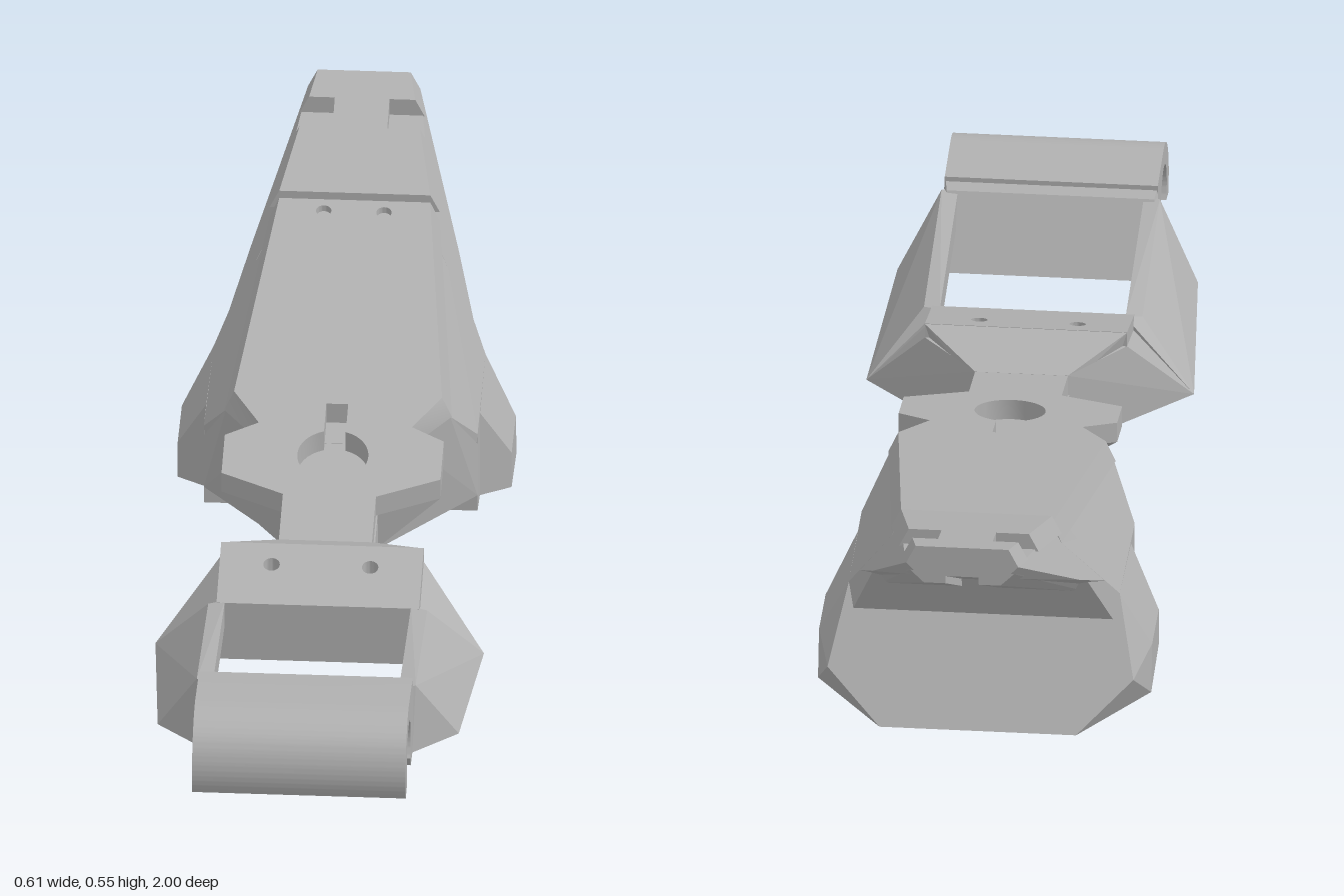
import * as THREE from 'three';
import { toCreasedNormals } from 'three/addons/utils/BufferGeometryUtils.js';
import { ConvexGeometry } from 'three/addons/geometries/ConvexGeometry.js';

const grey = new THREE.MeshStandardMaterial({ color: 0xb0b0b0 });
grey.name = 'plain grey';

export function createModel() {
  const model = new THREE.Group();
  const add = (name, geometry) => {
    const mesh = new THREE.Mesh(geometry, grey);
    mesh.name = name;
    model.add(mesh);
  };
  const hull = (name, pts) =>
    add(name, new ConvexGeometry(pts.map(p => new THREE.Vector3(...p))));
  const mirror = pts => pts.map(([x, y, z]) => [-x, y, z]);
  // Faceted block spanning both sides of the centre line
  const block = (name, pts) => hull(name, [...pts, ...mirror(pts)]);
  // Matching blocks on the left and right
  const pair = (name, pts) => {
    hull(name + 'Left', pts);
    hull(name + 'Right', mirror(pts));
  };
  const circle = (x, z, r) => new THREE.Path().absarc(x, -z, r, 0, Math.PI * 2, true);

  // Symmetrical sloping plate from a half outline [x, z]; its lower edge flares out
  function plate(name, half, holes, topY, depth, flare, flareBehind) {
    const right = half.map(([x, z]) => [-x, z]).reverse();
    const shape = new THREE.Shape([...half, ...right].map(([x, z]) => new THREE.Vector2(x, -z)));
    shape.holes.push(...holes);
    const g = new THREE.ExtrudeGeometry(shape, { depth, bevelEnabled: false, curveSegments: 16 });
    g.rotateX(-Math.PI / 2);
    const p = g.attributes.position;
    for (let i = 0; i < p.count; i++) {
      const x = p.getX(i), z = p.getZ(i), low = p.getY(i) < depth / 2;
      if (low && Math.abs(x) > 0.075 && z < flareBehind) p.setX(i, x + Math.sign(x) * flare);
      p.setY(i, topY(z) - (low ? depth : 0));
    }
    g.computeVertexNormals();
    add(name, toCreasedNormals(g, 0.5));
  }

  // Open hook at the front
  const hook = new THREE.Shape();
  hook.moveTo(0.78, 0.34);
  hook.lineTo(0.9, 0.352);
  hook.absarc(0.9, 0.252, 0.1, Math.PI / 2, -0.43, true);
  hook.absarc(0.9, 0.252, 0.06, -0.6, 3.85, false);
  hook.lineTo(0.84, 0.19);
  hook.lineTo(0.78, 0.187);
  const hookGeo = new THREE.ExtrudeGeometry(hook, { depth: 0.39, bevelEnabled: false, curveSegments: 28 });
  hookGeo.rotateY(-Math.PI / 2).translate(0.195, 0, 0);
  add('hook', toCreasedNormals(hookGeo, 0.5));

  // Front frame around the rectangular opening
  block('frameFront', [
    [0.195, 0.338, 0.79], [0.19, 0.32, 0.765], [0.2, 0.19, 0.69], [0.195, 0.187, 0.79],
  ]);
  pair('frameRail', [
    [0.17, 0.268, 0.41], [0.17, 0.318, 0.785], [0.2, 0.266, 0.42], [0.2, 0.318, 0.77],
    [0.3, 0.142, 0.36], [0.275, 0.182, 0.71], [0.195, 0.187, 0.79],
    [0.235, 0.145, 0.4], [0.225, 0.18, 0.7], [0.17, 0.22, 0.42], [0.17, 0.26, 0.78],
  ]);
  block('frameBack', [
    [0.085, 0.265, 0.185], [0.085, 0.12, 0.185], [0.185, 0.282, 0.275],
    [0.185, 0.24, 0.42], [0.3, 0.142, 0.36], [0.25, 0.15, 0.42],
    [0.185, 0.13, 0.27],
  ]);
  block('frameRamp', [
    [0.085, 0.265, 0.185], [0.185, 0.31, 0.275], [0.185, 0.28, 0.285], [0.085, 0.24, 0.185],
  ]);
  plate('frameTop', [[0.185, 0.275], [0.185, 0.42]].reverse(),
    [circle(0.09, 0.325, 0.015), circle(-0.09, 0.325, 0.015)],
    z => 0.31 + (0.278 - z) * 0.29, 0.03, 0, -2);

  // Narrow spine and side ears
  block('spine', [
    [0.088, 0.225, 0.185], [0.088, 0.119, 0.185], [0.088, 0.08, -0.1],
    [0.088, 0.09, -0.28], [0.088, 0.32, -0.28],
  ]);
  pair('ear', [
    [0.2, 0.281, -0.085], [0.2, 0.26, 0.015], [0.085, 0.25, 0.065],
    [0.14, 0.288, -0.12], [0.085, 0.17, 0.05], [0.085, 0.19, -0.05],
  ]);

  // Sloping deck with keyhole recess and two small holes
  const keyhole = new THREE.Path();
  keyhole.moveTo(0.02, 0.175);
  keyhole.lineTo(0.02, 0.102);
  keyhole.absarc(0, 0.04, 0.065, 1.26, 1.88 - Math.PI * 2, true);
  keyhole.lineTo(-0.02, 0.175);
  plate('deck', [
    [0.085, 0.185], [0.085, 0.065], [0.2, 0.015], [0.2, -0.085],
    [0.14, -0.12], [0.19, -0.2], [0.138, -0.71],
  ], [keyhole, circle(0.055, -0.68, 0.014), circle(-0.055, -0.68, 0.014)],
  z => 0.303 - 0.2067 * z, 0.04, 0.018, -0.15);

  // Rear body
  block('bodyShoulder', [
    [0.14, 0.288, -0.12], [0.205, 0.304, -0.2], [0.088, 0.085, -0.1],
    [0.13, 0.1, -0.2], [0.2, 0.09, -0.28], [0.25, 0.2, -0.28], [0.25, 0.09, -0.28],
  ]);
  block('bodyCore', [
    [0.205, 0.304, -0.2], [0.25, 0.22, -0.28], [0.248, 0.225, -0.555],
    [0.155, 0.41, -0.71], [0.13, 0.15, -0.2], [0.25, 0.15, -0.29], [0.25, 0.15, -0.56],
  ]);
  pair('sideWall', [
    [0.25, 0.22, -0.28], [0.25, 0.057, -0.28], [0.25, 0.04, -0.41], [0.25, 0.22, -0.41],
    [0.2, 0.2, -0.28], [0.2, 0.057, -0.28], [0.22, 0.04, -0.41], [0.22, 0.2, -0.41],
  ]);
  pair('sideBulge', [
    [0.25, 0.22, -0.355], [0.25, 0.045, -0.355], [0.305, 0.11, -0.4], [0.305, 0.037, -0.4],
    [0.305, 0.11, -0.53], [0.305, 0.02, -0.55], [0.28, 0.09, -0.635],
    [0.248, 0.225, -0.555], [0.18, 0, -0.69], [0.22, 0.045, -0.37], [0.22, 0.2, -0.37],
  ]);
  block('rearWall', [
    [0.18, 0, -0.69], [0.09, 0.006, -0.655], [0.28, 0.09, -0.635], [0.248, 0.225, -0.555],
    [0.09, 0.15, -0.54], [0.21, 0.15, -0.5], [0.245, 0.2, -0.5],
  ]);

  // Overhanging tail with notched top plate and two ridges beneath
  block('tail', [
    [0.145, 0.43, -0.71], [0.15, 0.42, -0.64], [0.235, 0.25, -0.555], [0.2, 0.24, -0.555],
    [0.19, 0.34, -0.72], [0.1025, 0.515, -1], [0.08, 0.49, -1],
  ]);
  plate('tailTop', [
    [0.138, -0.71], [0.11, -0.865], [0.05, -0.865], [0.05, -0.935], [0.097, -0.935], [0.085, -1],
  ], [], z => 0.465 + (-0.71 - z) * 0.293, 0.035, 0.0175, -0.7);
  pair('tailRidge', [
    [0.035, 0.25, -0.555], [0.035, 0.225, -0.555], [0.19, 0.225, -0.555], [0.21, 0.25, -0.555],
    [0.03, 0.5, -1], [0.03, 0.475, -1], [0.07, 0.475, -1], [0.095, 0.5, -1],
  ]);

  return model;
}
